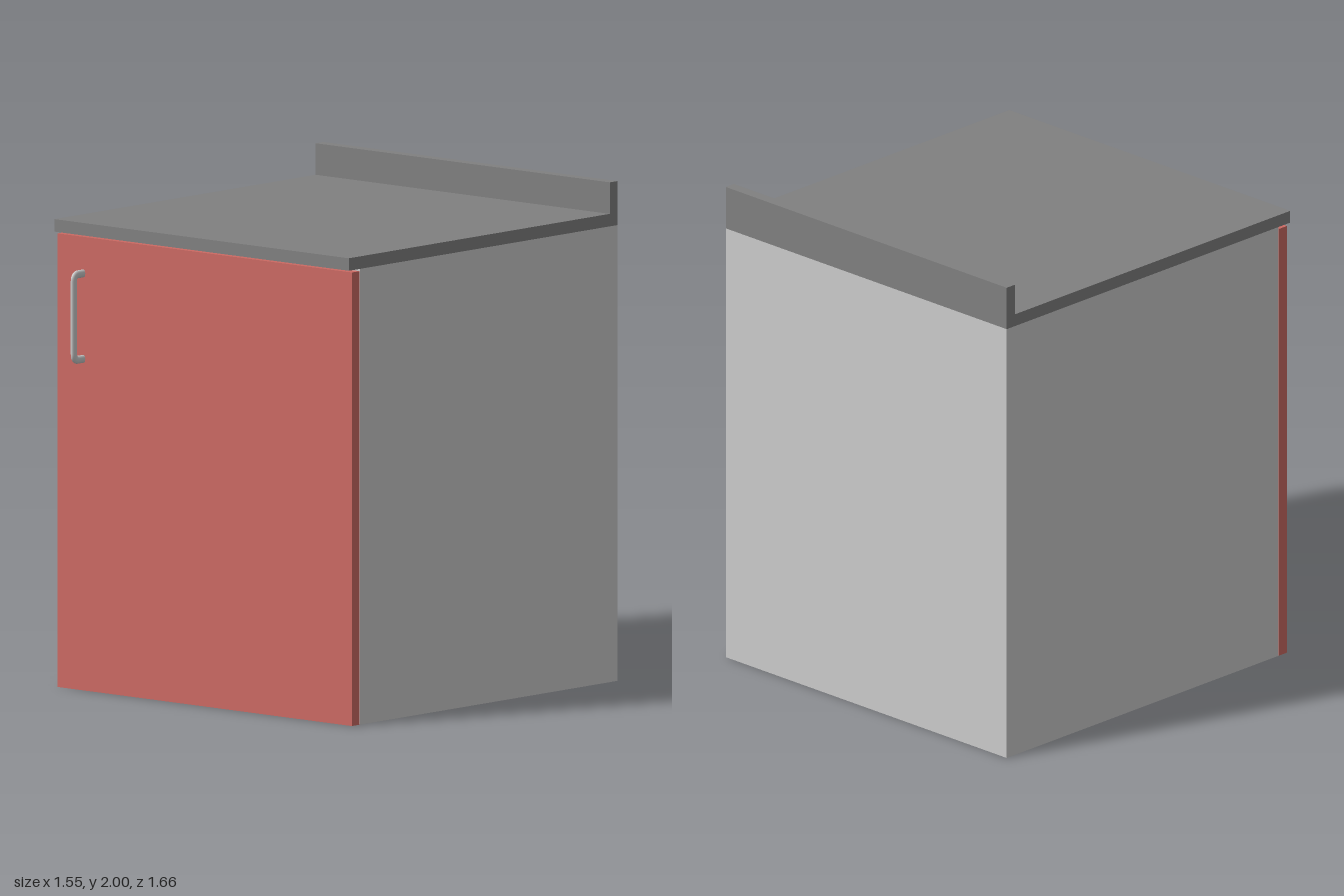
import * as THREE from 'three';

const WIDTH = 1.554;

function material(color) {
  return new THREE.MeshStandardMaterial({ color });
}

// Box given by its y and z ranges, spanning the full width
function slab(name, y0, y1, z0, z1, color) {
  const mesh = new THREE.Mesh(new THREE.BoxGeometry(WIDTH, y1 - y0, z1 - z0), material(color));
  mesh.position.set(0, (y0 + y1) / 2, (z0 + z1) / 2);
  mesh.name = name;
  return mesh;
}

// Worktop and upstand as one L-shaped profile, extruded across the width
function makeWorktop() {
  const profile = new THREE.Shape(
    [[-0.775, 1.824], [0.83, 1.824], [0.83, 2], [0.784, 2], [0.784, 1.874], [-0.775, 1.874]]
      .map(([z, y]) => new THREE.Vector2(z, y))
  );
  const geometry = new THREE.ExtrudeGeometry(profile, { depth: WIDTH, bevelEnabled: false });
  geometry.translate(0, 0, -WIDTH / 2).rotateY(Math.PI / 2);
  const mesh = new THREE.Mesh(geometry, material(0x808080));
  mesh.name = 'worktop';
  return mesh;
}

// Bow handle: an oval bar with two rounded corners
function makeHandle() {
  const back = 0.75, front = 0.814, low = 1.327, high = 1.669, r = 0.024;
  const p = (y, z) => new THREE.Vector3(0, y, z);
  const path = new THREE.CurvePath();
  path.add(new THREE.LineCurve3(p(low, back), p(low, front - r)));
  path.add(new THREE.QuadraticBezierCurve3(p(low, front - r), p(low, front), p(low + r, front)));
  path.add(new THREE.LineCurve3(p(low + r, front), p(high - r, front)));
  path.add(new THREE.QuadraticBezierCurve3(p(high - r, front), p(high, front), p(high, front - r)));
  path.add(new THREE.LineCurve3(p(high, front - r), p(high, back)));
  const geometry = new THREE.TubeGeometry(path, 96, 0.016, 16, false);
  geometry.scale(0.6, 1, 1);
  const mesh = new THREE.Mesh(geometry, material(0xcccccc));
  mesh.position.x = -0.64;
  mesh.name = 'handle';
  return mesh;
}

export function createModel() {
  const group = new THREE.Group();
  group.name = 'baseCabinet';
  group.add(
    slab('carcass', 0, 1.824, -0.83, 0.708, 0xcccccc),
    slab('door', 0, 1.815, 0.71, 0.757, 0xcc6a63),
    makeWorktop(),
    makeHandle()
  );
  return group;
}
